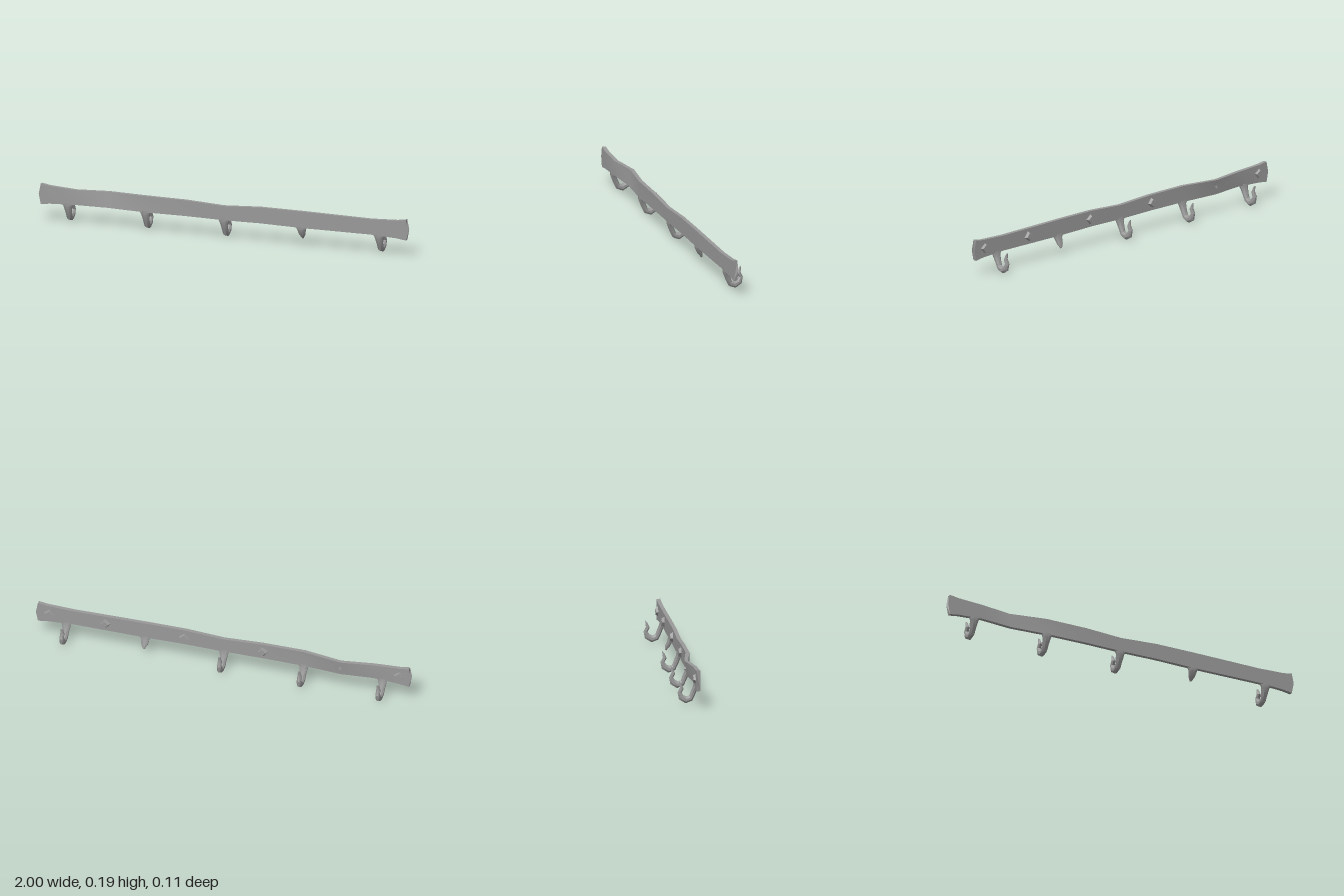
import * as THREE from 'three';
import { toCreasedNormals } from 'three/addons/utils/BufferGeometryUtils.js';

const material = new THREE.MeshStandardMaterial({ color: 0x999999 });

// Smooth along gentle bends, sharp at the section edges
function part(name, geometry) {
  const mesh = new THREE.Mesh(toCreasedNormals(geometry, 0.6), material);
  mesh.name = name;
  return mesh;
}

// Skins a row of equal-length rings (each ordered to face back along the path) and caps both ends.
function loft(name, rings) {
  const n = rings[0].length, last = (rings.length - 1) * n, index = [];
  for (let r = 0; r < rings.length - 1; r++) {
    for (let j = 0; j < n; j++) {
      const a = r * n + j, b = r * n + (j + 1) % n;
      index.push(a, a + n, b, b, a + n, b + n);
    }
  }
  for (let j = 1; j < n - 1; j++) index.push(0, j, j + 1, last, last + j + 1, last + j);
  const geometry = new THREE.BufferGeometry();
  geometry.setAttribute('position', new THREE.Float32BufferAttribute(rings.flat(2), 3));
  geometry.setIndex(index);
  return part(name, geometry);
}

// Bar stations: x, bottom y, top y, back z at bottom, back z at top
const BAR = [
  [-1, 0.088, 0.196, 0.029, 0.029],
  [-0.94, 0.095, 0.188, 0.03, 0.03],
  [-0.8, 0.102, 0.18, 0.032, 0.031],
  [-0.63, 0.1, 0.18, 0.018, 0.004],
  [-0.43, 0.1, 0.185, 0.032, 0.031],
  [-0.2, 0.102, 0.184, 0.032, 0.032],
  [0, 0.1, 0.174, 0.032, 0.032],
  [0.2, 0.103, 0.186, 0.032, 0.032],
  [0.42, 0.1, 0.186, 0.032, 0.032],
  [0.8, 0.102, 0.182, 0.032, 0.032],
  [0.94, 0.095, 0.188, 0.03, 0.03],
  [1, 0.088, 0.196, 0.029, 0.029],
];

function barRing([x, y0, y1, z0, z1]) {
  const t = 0.02, ym = (y0 + y1) / 2, zm = (z0 + z1) / 2;
  const xc = Math.abs(x) === 1 ? x * 0.989 : x; // ends bow outward
  return [[xc, y0, z0 + t], [x, ym, zm + t], [xc, y1, z1 + t], [xc, y1, z1], [x, ym, zm], [xc, y0, z0]];
}

// Hook stations: outer z, outer y, inner z, inner y, half width
const HOOK = [
  [0.052, 0.108, 0.031, 0.108, 0.034],
  [0.053, 0.088, 0.028, 0.088, 0.022],
  [0.038, 0.048, 0.015, 0.058, 0.016],
  [0.022, 0.014, 0.008, 0.039, 0.014],
  [-0.012, 0.001, -0.004, 0.034, 0.013],
  [-0.045, 0.021, -0.021, 0.041, 0.012],
  [-0.052, 0.056, -0.032, 0.056, 0.011],
  [-0.04, 0.08, -0.021, 0.077, 0.01],
  [-0.044, 0.114, -0.034, 0.104, 0.005],
];
const BROKEN = [...HOOK.slice(0, 2), [0.038, 0.058, 0.016, 0.062, 0.016], [0.02, 0.036, 0.013, 0.041, 0.004]];

// Octagonal section from the outer face round to the inner face
const SECTION = [[-0.4, 0], [0.4, 0], [1, 0.3], [1, 0.7], [0.4, 1], [-0.4, 1], [-1, 0.7], [-1, 0.3]];

function hook(name, x, stations) {
  const mesh = loft(name, stations.map(([zo, yo, zi, yi, w]) =>
    SECTION.map(([u, v]) => [u * w, yo + (yi - yo) * v, zo + (zi - zo) * v])));
  mesh.position.x = x;
  return mesh;
}

// Four-sided tapered bolt head on the back face
function bolt(name, x, y, z, radius, depth, turn) {
  const geometry = new THREE.CylinderGeometry(radius * 0.68, radius, depth, 4);
  geometry.rotateX(-Math.PI / 2);
  const mesh = part(name, geometry);
  mesh.position.set(x, y, z - depth / 2 + 0.003);
  mesh.rotation.z = turn;
  return mesh;
}

export function createModel() {
  const group = new THREE.Group();
  group.name = 'hookRail';

  group.add(loft('bar', BAR.map(barRing)));

  // Four whole hooks and one snapped stub
  [-0.845, -0.425, 0, 0.84].forEach((x, i) => group.add(hook(`hook${i + 1}`, x, HOOK)));
  group.add(hook('brokenHook', 0.42, BROKEN));

  // Bolt heads along the back, with a small stub in the dent
  [[-0.935, 0.15], [-0.21, -0.1], [0.21, 0.1], [0.63, -0.12], [0.93, 0.12]].forEach(([x, turn], i) =>
    group.add(bolt(`bolt${i + 1}`, x, 0.143, 0.031, 0.028, 0.016, turn)));
  const stub = bolt('boltStub', -0.63, 0.14, 0.012, 0.012, 0.01, 0.3);
  stub.rotation.x = 0.16;
  group.add(stub);

  return group;
}
